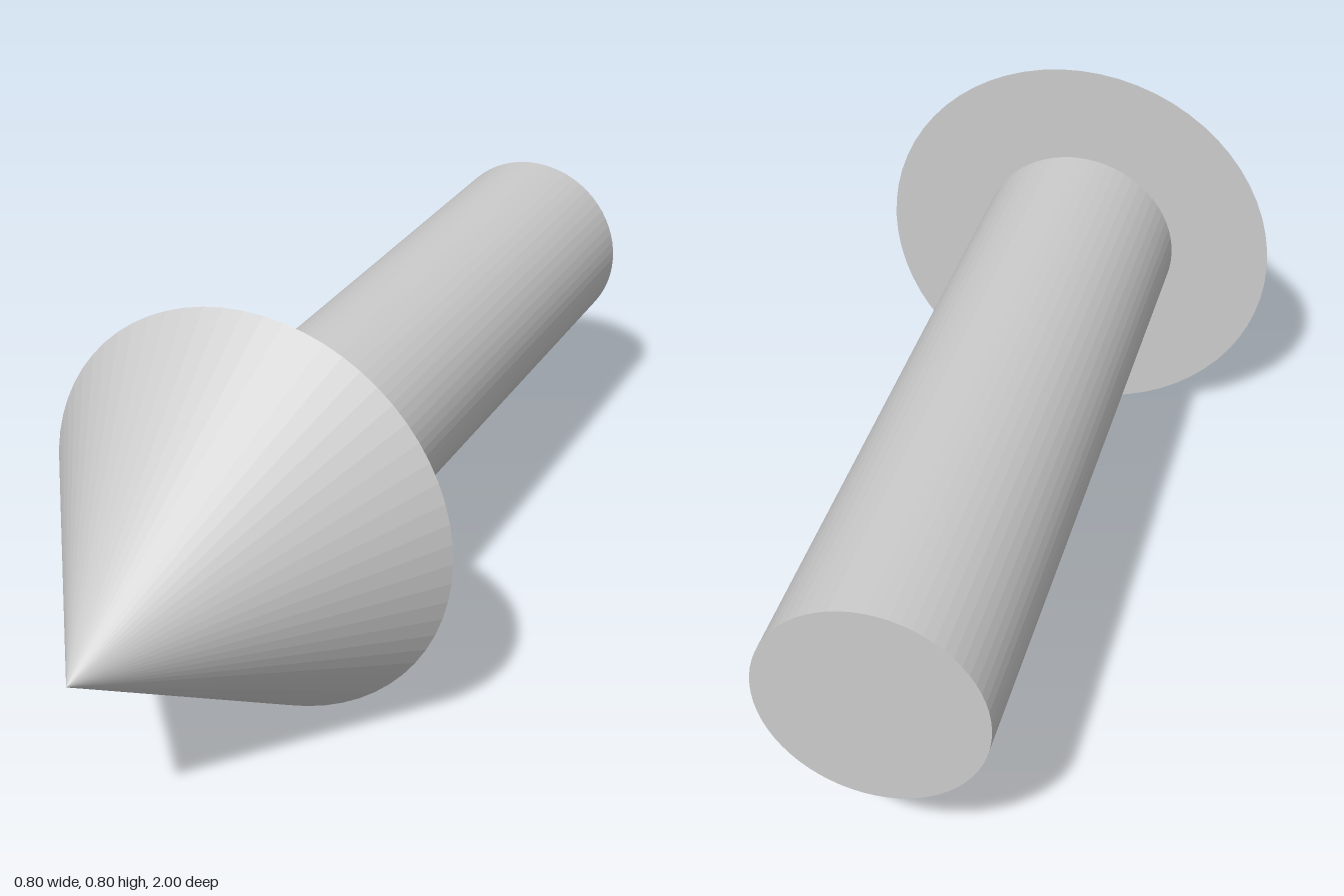
import * as THREE from 'three';

const SIDES = 64;
const AXIS_HEIGHT = 0.4;

export function createModel() {
  const model = new THREE.Group();
  model.name = 'arrow';
  const material = new THREE.MeshStandardMaterial({ color: 0xcccccc, flatShading: true });

  // Lays an upright round part along +z, between two z positions on the arrow's axis
  function addAlongZ(name, frontRadius, backRadius, zBack, zFront) {
    const geometry = new THREE.CylinderGeometry(frontRadius, backRadius, zFront - zBack, SIDES);
    geometry.rotateX(Math.PI / 2);
    const mesh = new THREE.Mesh(geometry, material);
    mesh.name = name;
    mesh.position.set(0, AXIS_HEIGHT, (zBack + zFront) / 2);
    model.add(mesh);
  }

  // Straight shaft with a flat rear end
  addAlongZ('shaft', 0.2, 0.2, -1, 0.4);
  // Pointed head with a flat base
  addAlongZ('arrowHead', 0, 0.4, 0.4, 1);

  return model;
}
